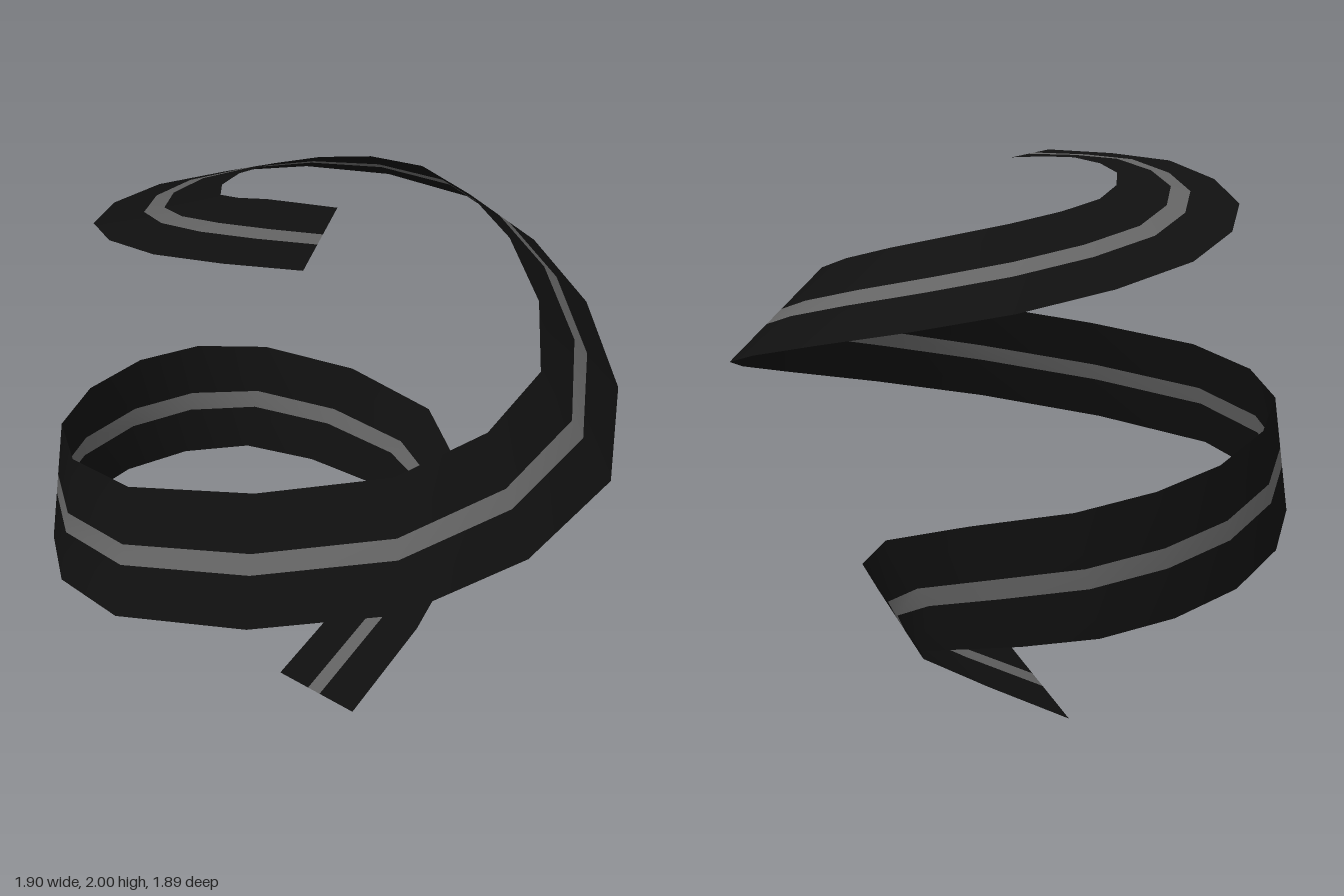
import * as THREE from 'three';

const SEGMENTS = 30;

// Key points along the two long edges of the ribbon, from the top end down
const lowerEdge = [
  [-0.16, 2.0, 0.5], [-0.56, 1.96, 0.27], [-0.71, 1.82, -0.18], [-0.46, 1.66, -0.68],
  [0.1, 1.53, -0.95], [0.67, 1.43, -0.8], [0.95, 1.32, -0.2], [0.79, 1.19, 0.61],
  [0.05, 1.05, 0.94], [-0.78, 0.9, 0.63], [-0.95, 0.75, 0.04], [-0.66, 0.6, -0.47],
  [-0.19, 0.5, -0.66], [0.24, 0.42, -0.46], [0.34, 0.34, -0.28], [-0.19, 0, 0.08],
];
const upperEdge = [
  [0.01, 1.97, 0.12], [-0.19, 1.97, 0.03], [-0.315, 1.92, -0.11], [-0.22, 1.84, -0.38],
  [0.08, 1.77, -0.57], [0.44, 1.7, -0.57], [0.65, 1.62, -0.18], [0.58, 1.53, 0.46],
  [0.06, 1.42, 0.75], [-0.7, 1.29, 0.49], [-0.88, 1.16, -0.04], [-0.58, 1.02, -0.56],
  [-0.1, 0.91, -0.72], [0.46, 0.77, -0.41], [0.48, 0.49, 0.07], [0, 0.18, 0.49],
];

const edgeCurve = (points) =>
  new THREE.CatmullRomCurve3(points.map((p) => new THREE.Vector3(...p)), false, 'catmullrom', 0.5);

// Lengthwise strip of the ribbon between two fractions of its width
function stripGeometry(lower, upper, from, to) {
  const positions = [];
  const indices = [];
  for (let i = 0; i <= SEGMENTS; i++) {
    const a = lower.getPoint(i / SEGMENTS);
    const b = upper.getPoint(i / SEGMENTS);
    for (const f of [from, to]) positions.push(...a.clone().lerp(b, f).toArray());
    if (i < SEGMENTS) {
      const k = i * 2;
      indices.push(k, k + 1, k + 2, k + 1, k + 3, k + 2);
    }
  }
  const geometry = new THREE.BufferGeometry();
  geometry.setAttribute('position', new THREE.Float32BufferAttribute(positions, 3));
  geometry.setIndex(indices);
  geometry.computeVertexNormals();
  return geometry;
}

export function createModel() {
  const black = new THREE.MeshStandardMaterial({ color: 0x101010, side: THREE.DoubleSide });
  black.name = 'black';
  const grey = new THREE.MeshStandardMaterial({ color: 0x646464, side: THREE.DoubleSide });
  grey.name = 'grey';

  const lower = edgeCurve(lowerEdge);
  const upper = edgeCurve(upperEdge);
  const group = new THREE.Group();
  group.name = 'spiralRibbon';

  // Two dark borders with a pale stripe between them
  for (const [name, from, to, material] of [
    ['lowerBorder', 0, 0.4, black],
    ['centreStripe', 0.4, 0.56, grey],
    ['upperBorder', 0.56, 1, black],
  ]) {
    const mesh = new THREE.Mesh(stripGeometry(lower, upper, from, to), material);
    mesh.name = name;
    group.add(mesh);
  }
  return group;
}
